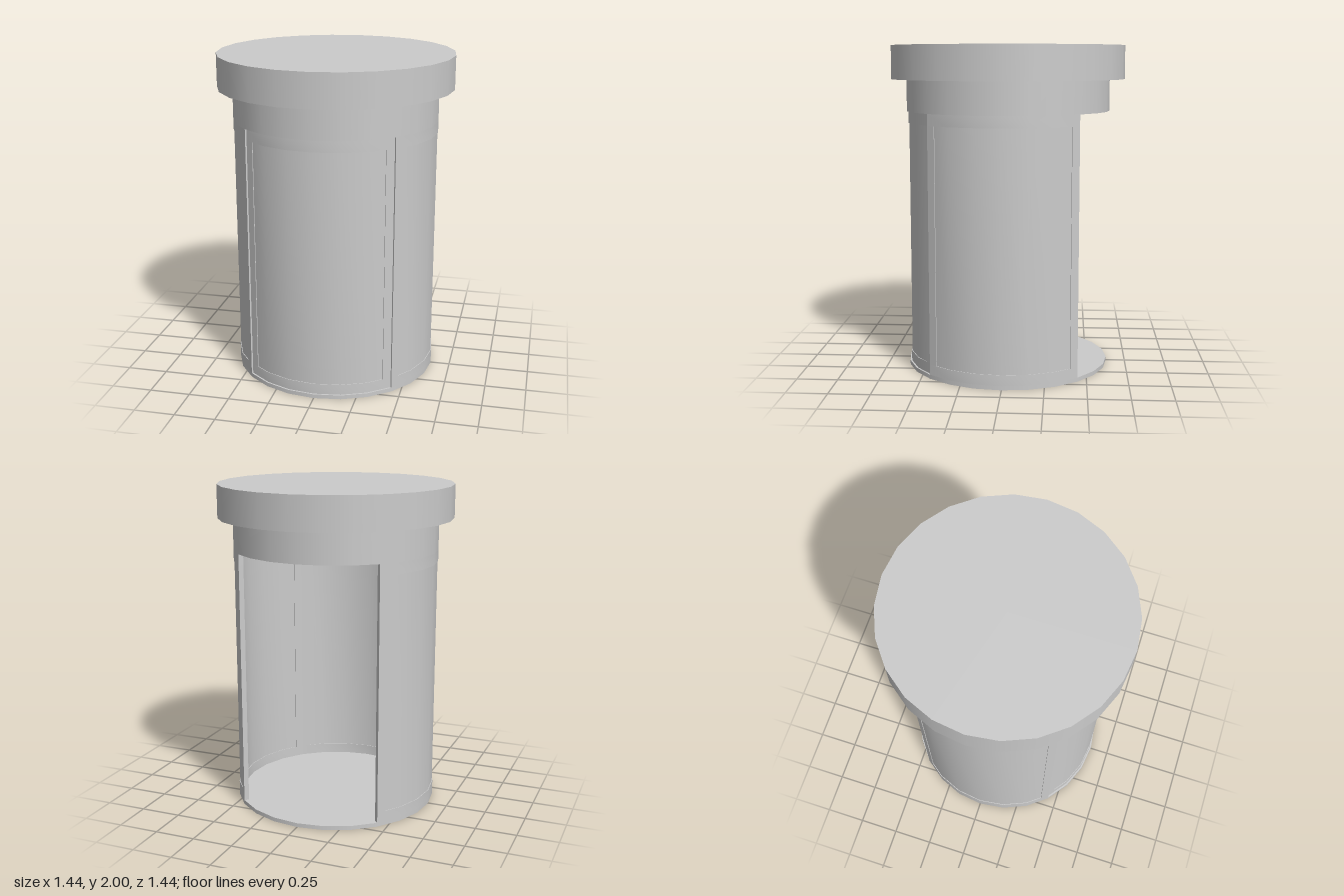
import * as THREE from 'three';
import { toCreasedNormals } from 'three/addons/utils/BufferGeometryUtils.js';

const SIDES = 24;
const STEP = 360 / SIDES;
const OUTER = 0.63;
const INNER = 0.6;
const FLOOR = 0.025;
const CEILING = 1.6;

export function createModel() {
  const model = new THREE.Group();
  const material = new THREE.MeshStandardMaterial({ color: 0xcccccc });

  function add(parent, name, geometry) {
    const mesh = new THREE.Mesh(geometry, material);
    mesh.name = name;
    parent.add(mesh);
  }

  // Solid 24-sided disc
  function disc(name, radius, y0, y1) {
    const geometry = new THREE.CylinderGeometry(radius, radius, y1 - y0, SIDES);
    add(model, name, geometry.translate(0, (y0 + y1) / 2, 0));
  }

  // Point on a 24-sided outline; angle in degrees from the front
  function outline(radius, deg) {
    const off = deg - Math.floor(deg / STEP) * STEP - STEP / 2;
    const rad = THREE.MathUtils.degToRad;
    const r = radius * Math.cos(rad(STEP / 2)) / Math.cos(rad(off));
    return new THREE.Vector2(r * Math.sin(rad(deg)), -r * Math.cos(rad(deg)));
  }

  // Curved slab between two angles
  function curvedSlab(rIn, rOut, a0, a1, y0, y1) {
    const angles = [a0];
    for (let a = (Math.floor(a0 / STEP) + 1) * STEP; a < a1; a += STEP) angles.push(a);
    angles.push(a1);
    const shape = new THREE.Shape([
      ...angles.map((a) => outline(rOut, a)),
      ...angles.slice().reverse().map((a) => outline(rIn, a)),
    ]);
    const geometry = new THREE.ExtrudeGeometry(shape, { depth: y1 - y0, bevelEnabled: false });
    geometry.rotateX(-Math.PI / 2).translate(0, y0, 0);
    return toCreasedNormals(geometry, Math.PI / 6);
  }

  // Quarter-round wall: a frame holding a barely recessed pane
  function wall(name, middle, radius) {
    const group = new THREE.Group();
    group.name = name;
    const low = 0.09, high = 1.53, inset = 0.004;
    const a = middle - 45, b = middle + 45;
    add(group, 'bottomRail', curvedSlab(INNER, radius, a, b, FLOOR, low));
    add(group, 'topRail', curvedSlab(INNER, radius, a, b, high, CEILING));
    add(group, 'firstStile', curvedSlab(INNER, radius, a, a + 5, low, high));
    add(group, 'secondStile', curvedSlab(INNER, radius, b - 5, b, low, high));
    add(group, 'pane', curvedSlab(INNER + inset, radius - inset, a + 5, b - 5, low, high));
    model.add(group);
  }

  // Base plate, neck and overhanging lid
  disc('base', OUTER, 0, FLOOR);
  disc('neck', OUTER, CEILING, 1.795);
  disc('lid', 0.722, 1.795, 2);

  // Three walls; the back quarter stays open
  wall('frontWall', 0, 0.62);
  wall('leftWall', 90, OUTER);
  wall('rightWall', -90, OUTER);

  return model;
}
